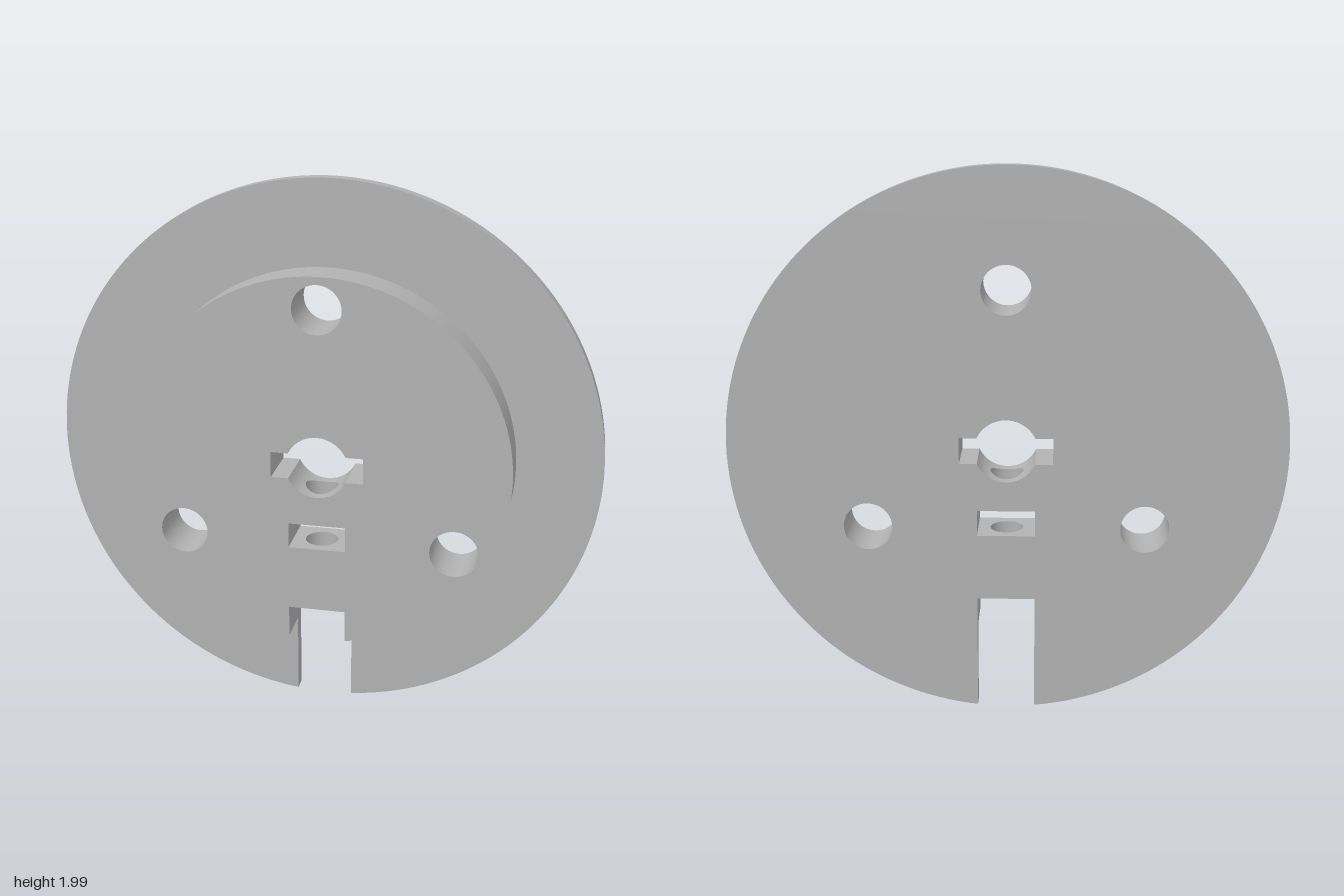
import * as THREE from 'three';
import { mergeGeometries } from 'three/addons/utils/BufferGeometryUtils.js';

// Main sizes
const CY = 0.9945, BACK = -0.097, STEP = -0.046, FRONT = 0.097;
const R_FLANGE = 1, R_BOSS = 0.693, R_HUB = 0.115, R_BOLT = 0.088, R_BORE = 0.06;
const NOTCH_W = 0.105, NOTCH_TOP = 0.43, KEY_W = 0.168, KEY_H = 0.048;
const SLOT_LOW = 0.675, SLOT_HIGH = 0.77;

const v2 = (x, y) => new THREE.Vector2(x, y);

// Points on an arc from angle a to angle b
function arc(cx, cy, r, a, b, n) {
  return Array.from({ length: n + 1 }, (_, i) => {
    const t = a + (b - a) * i / n;
    return v2(cx + r * Math.cos(t), cy + r * Math.sin(t));
  });
}

// Smooth strip of quads between two rows of points
function strip(rowA, rowB) {
  const n = rowA.length, index = [];
  for (let i = 0; i < n - 1; i++) index.push(i, i + 1, n + i + 1, i, n + i + 1, n + i);
  const g = new THREE.BufferGeometry().setFromPoints([...rowA, ...rowB]);
  g.setIndex(index);
  g.computeVertexNormals();
  return g;
}

// Wall along a path with the solid on its left
function wall(path, z0, z1) {
  const row = z => path.map(p => new THREE.Vector3(p.x, p.y, z));
  return strip(row(z0), row(z1));
}

// Flat-sided wall, with a sharp corner at each point
const sharpWall = (path, z0, z1) =>
  path.slice(1).map((p, i) => wall([path[i], p], z0, z1));

// Wall crossed by the vertical bore, leaving a round opening
function boredWall(heightAt, halfWidth, dir) {
  const xs = [], n = 32;
  for (let i = 0; i < 8; i++) xs.push(-halfWidth + (halfWidth - R_BORE) * i / 8);
  for (let i = 0; i <= n; i++) xs.push(-R_BORE * Math.cos(Math.PI * i / n));
  for (let i = 1; i <= 8; i++) xs.push(R_BORE + (halfWidth - R_BORE) * i / 8);
  if (dir < 0) xs.reverse();
  const row = zAt => xs.map(x => new THREE.Vector3(x, heightAt(x), zAt(x)));
  const open = x => Math.sqrt(Math.max(0, R_BORE ** 2 - x * x));
  return [strip(row(() => BACK), row(x => -open(x))), strip(row(open), row(() => FRONT))];
}

// Inside of the bore between two surfaces
function boreTube(low, high) {
  const ring = heightAt => Array.from({ length: 65 }, (_, i) => {
    const t = i / 64 * Math.PI * 2, x = R_BORE * Math.cos(t);
    return new THREE.Vector3(x, heightAt(x), R_BORE * Math.sin(t));
  });
  return strip(ring(low), ring(high));
}

// Flat face with holes, facing front
function face(outline, holes, z) {
  const s = new THREE.Shape(outline);
  s.holes = holes.map(h => new THREE.Path(h));
  const g = new THREE.ShapeGeometry(s);
  g.deleteAttribute('uv');
  return g.translate(0, 0, z);
}

export function createModel() {
  const group = new THREE.Group();
  const grey = new THREE.MeshStandardMaterial({ color: 0xb3b3b3 });
  const add = (name, ...parts) => {
    const mesh = new THREE.Mesh(mergeGeometries(parts.flat()), grey);
    mesh.name = name;
    group.add(mesh);
  };

  // Outer rims, open at the notch
  const rim = r => {
    const gap = Math.asin(NOTCH_W / r);
    return arc(0, CY, r, -Math.PI / 2 + gap, Math.PI * 1.5 - gap, 160);
  };
  const flangeRim = rim(R_FLANGE), bossRim = rim(R_BOSS);
  const notchLeft = v2(NOTCH_W, NOTCH_TOP), notchRight = v2(-NOTCH_W, NOTCH_TOP);

  // Bolt holes, evenly spaced
  const boltHoles = [90, 210, 330].map(d => {
    const a = d * Math.PI / 180;
    return arc(0.577 * Math.cos(a), CY + 0.577 * Math.sin(a), R_BOLT, Math.PI * 2, 0, 48);
  });

  // Central hole with a keyway on each side
  const b = Math.asin(KEY_H / R_HUB), cx = R_HUB * Math.cos(b);
  const hubTop = arc(0, CY, R_HUB, Math.PI - b, b, 32);
  const hubBottom = arc(0, CY, R_HUB, -b, b - Math.PI, 32);
  const keyLeft = [v2(cx, CY + KEY_H), v2(KEY_W, CY + KEY_H), v2(KEY_W, CY - KEY_H), v2(cx, CY - KEY_H)];
  const keyRight = keyLeft.map(p => v2(-p.x, p.y)).reverse();
  const hubHole = [...hubTop, keyLeft[1], keyLeft[2], ...hubBottom, keyRight[1], keyRight[2]];

  // Rectangular nut slot
  const slot = [v2(-NOTCH_W, SLOT_LOW), v2(-NOTCH_W, SLOT_HIGH), v2(NOTCH_W, SLOT_HIGH), v2(NOTCH_W, SLOT_LOW)];

  // Arcs drop their doubled closing point when used as holes in a face
  const holes = [...boltHoles.map(h => h.slice(0, -1)), hubHole, slot];

  add('flange',
    wall(flangeRim, BACK, STEP),
    face([...flangeRim, ...bossRim.slice().reverse()], [], STEP),
    face([...flangeRim, notchRight, notchLeft], holes, -BACK).rotateY(Math.PI));

  add('boss',
    wall(bossRim, STEP, FRONT),
    face([...bossRim, notchRight, notchLeft], holes, FRONT));

  add('boltHoles', boltHoles.map(h => wall(h, BACK, FRONT)));

  // Heights of the surfaces the bore passes through
  const notchY = () => NOTCH_TOP, lowY = () => SLOT_LOW, highY = () => SLOT_HIGH;
  const hubY = x => CY - Math.sqrt(R_HUB ** 2 - x * x);

  add('keyedCentreHole',
    wall(hubTop, BACK, FRONT),
    sharpWall(keyLeft, BACK, FRONT),
    sharpWall(keyRight, BACK, FRONT),
    boredWall(hubY, cx, -1));

  add('nutSlot',
    wall([slot[0], slot[1]], BACK, FRONT),
    wall([slot[2], slot[3]], BACK, FRONT),
    boredWall(highY, NOTCH_W, 1),
    boredWall(lowY, NOTCH_W, -1));

  const sides = (r, z0, z1) => [
    wall([r[r.length - 1], notchRight], z0, z1),
    wall([notchLeft, r[0]], z0, z1)];
  add('notch',
    sides(flangeRim, BACK, STEP),
    sides(bossRim, STEP, FRONT),
    boredWall(notchY, NOTCH_W, 1));

  add('screwBore', boreTube(notchY, lowY), boreTube(highY, hubY));
  return group;
}
